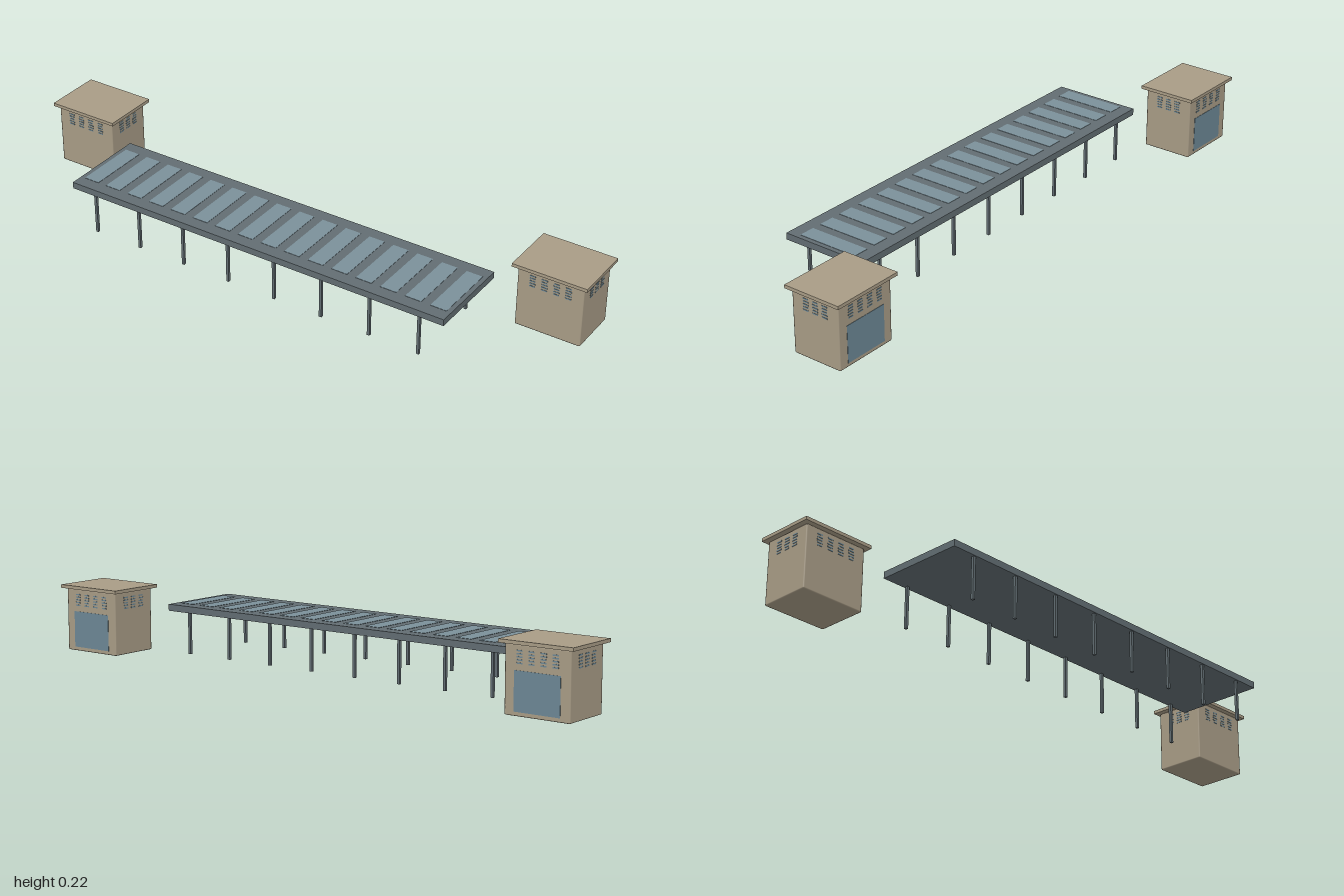
import * as THREE from 'three';
import { RoundedBoxGeometry } from 'three/addons/geometries/RoundedBoxGeometry.js';

const paint = (color) => new THREE.MeshStandardMaterial({ color });
const tan = paint(0xa89c86), steel = paint(0x626d72), glass = paint(0x7b909a), blue = paint(0x6c8795);

function add(parent, name, geometry, material, x, y, z) {
  const mesh = new THREE.Mesh(geometry, material);
  mesh.name = name;
  mesh.position.set(x, y, z);
  parent.add(mesh);
  return mesh;
}
const box = (w, h, d) => new THREE.BoxGeometry(w, h, d);

// Long flat canopy with roof lights and two rows of posts
function makeCanopy() {
  const canopy = new THREE.Group();
  canopy.name = 'canopy';
  const pitch = 0.086, zMid = 0.094;
  add(canopy, 'canopyRoof', box(16 * pitch, 0.022, 0.3), steel, 0, 0.149, zMid);
  const lightShape = box(0.055, 0.002, 0.215), postShape = box(0.009, 0.14, 0.009);
  for (let i = 0; i < 16; i++)
    add(canopy, 'roofLight', lightShape, glass, (i - 7.5) * pitch, 0.16, zMid);
  for (let i = 0; i < 8; i++)
    for (const z of [0.235, -0.046])
      add(canopy, 'post', postShape, steel, (i - 3.5) * 2 * pitch, 0.07, z);
  return canopy;
}

// Columns of thin vent slats in the xy plane, facing +z
function makeVents(columns, spacing) {
  const vents = new THREE.Group();
  vents.name = 'vents';
  const slat = box(0.02, 0.004, 0.002);
  for (let c = 0; c < columns; c++)
    for (let r = 0; r < 5; r++)
      add(vents, 'ventSlat', slat, blue, (c - (columns - 1) / 2) * spacing, 0.154 + r * 0.009, 0);
  return vents;
}

// Small cabin: bevelled body, overhanging roof, vents on all sides, shutter at the back
function makeCabin(x) {
  const cabin = new THREE.Group();
  cabin.name = 'cabin';
  cabin.position.set(x, 0, -0.145);
  const w = 0.22, d = 0.172;
  add(cabin, 'cabinBody', new RoundedBoxGeometry(w, 0.208, d, 1, 0.004), tan, 0, 0.104, 0);
  add(cabin, 'cabinRoof', box(0.25, 0.011, 0.2), tan, 0, 0.2145, 0);
  add(cabin, 'backShutter', box(0.155, 0.12, 0.002), blue, 0, 0.073, -d / 2);
  for (let side = 0; side < 4; side++) {
    const long = side % 2 === 0;
    const vents = long ? makeVents(4, 0.04) : makeVents(3, 0.035);
    const angle = side * Math.PI / 2, reach = long ? d / 2 : w / 2;
    vents.rotation.y = angle;
    vents.position.set(Math.sin(angle) * reach, 0, Math.cos(angle) * reach);
    cabin.add(vents);
  }
  return cabin;
}

export function createModel() {
  const model = new THREE.Group();
  model.name = 'station';
  model.add(makeCanopy(), makeCabin(-0.875), makeCabin(0.875));
  return model;
}
